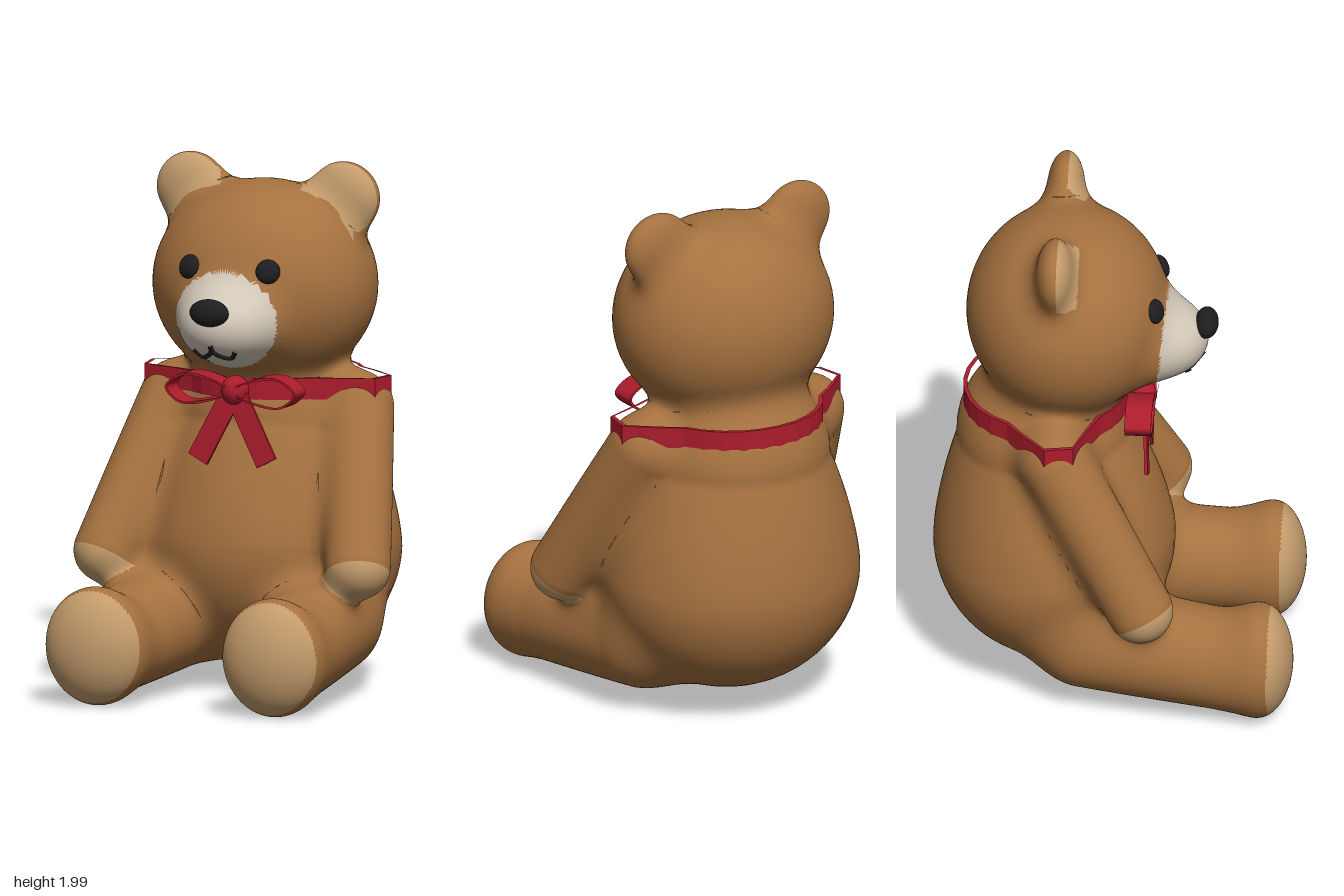
import * as THREE from 'three';

const V = (x, y, z) => new THREE.Vector3(x, y, z);
const mat = (name, color) => Object.assign(new THREE.MeshStandardMaterial({ color }), { name });
const BLEND = 0.1;

// Soft plush parts: each has a distance rule and a starting geometry
function ellipsoid(name, c, r) {
  const geometry = new THREE.SphereGeometry(1, 64, 48).rotateX(Math.PI / 2)
    .scale(r.x, r.y, r.z).translate(c.x, c.y, c.z);
  const dist = (p) => {
    const x = (p.x - c.x) / r.x, y = (p.y - c.y) / r.y, z = (p.z - c.z) / r.z;
    const k0 = Math.hypot(x, y, z);
    return k0 * (k0 - 1) / (Math.hypot(x / r.x, y / r.y, z / r.z) + 1e-6);
  };
  return { name, geometry, dist };
}

// Rounded limb whose radius eases from ra to rb
function limb(name, a, ra, b, rb, widen = 1) {
  const axis = b.clone().sub(a), len = axis.length(), dir = axis.clone().normalize();
  const mid = a.clone().add(b).multiplyScalar(0.5);
  const turn = new THREE.Quaternion().setFromUnitVectors(V(0, 1, 0), dir);
  const geometry = new THREE.CapsuleGeometry((ra + rb) / 2, len, 20, 64, 28)
    .applyQuaternion(turn).translate(mid.x, mid.y, mid.z).scale(widen, 1, 1);
  const q = V(0, 0, 0);
  const dist = (p) => {
    q.set(p.x / widen, p.y, p.z).sub(a);
    const h = THREE.MathUtils.clamp(q.dot(dir) / len, 0, 1);
    return q.addScaledVector(dir, -h * len).length() - (ra + (rb - ra) * h ** 1.5);
  };
  return { name, geometry, dist };
}

function plushParts() {
  const parts = [
    limb('body', V(0, 0.54, -0.235), 0.453, V(0, 1.0, -0.27), 0.33, 1.1),
    ellipsoid('head', V(0, 1.53, -0.185), V(0.43, 0.39, 0.378)),
    ellipsoid('muzzle', V(0, 1.42, 0.13), V(0.193, 0.155, 0.212)),
  ];
  for (const [side, s] of [['left', 1], ['right', -1]]) {
    parts.push(
      ellipsoid(side + 'Ear', V(s * 0.312, 1.865, -0.213), V(0.14, 0.135, 0.07)),
      limb(side + 'Arm', V(s * 0.372, 1.08, -0.205), 0.132, V(s * 0.513, 0.528, 0.122), 0.123),
      limb(side + 'Leg', V(s * 0.295, 0.282, -0.1), 0.2, V(s * 0.355, 0.23, 0.42), 0.19),
      ellipsoid(side + 'Foot', V(s * 0.362, 0.237, 0.56), V(0.196, 0.221, 0.122)));
  }
  return parts;
}

// Smooth union of all the parts
function makeField(parts) {
  return (p) => {
    let d = 10;
    for (const part of parts) {
      const e = part.dist(p), h = Math.max(BLEND - Math.abs(d - e), 0) / BLEND;
      d = Math.min(d, e) - h * h * BLEND / 4;
    }
    return d;
  };
}

function gradient(f, p) {
  const e = 0.002, q = p.clone();
  return V(...['x', 'y', 'z'].map((k) => {
    q.copy(p)[k] += e;
    const hi = f(q);
    q[k] -= 2 * e;
    return hi - f(q);
  })).divideScalar(2 * e);
}

function settle(f, p, steps) {
  for (let i = 0; i < steps; i++) {
    const d = f(p);
    if (Math.abs(d) < 1e-4) return;
    const g = gradient(f, p);
    p.addScaledVector(g, -d / Math.max(g.lengthSq(), 0.2));
  }
}

// Fur colour at a point: 0 brown, 1 tan pads, 2 pale muzzle
function paint(p) {
  const x = Math.abs(p.x);
  if (p.z > 0.595 && p.y < 0.6) return 1;
  if (p.z > -0.2 && p.z < -0.125 && Math.hypot(x - 0.315, p.y - 1.87) < 0.145) return 1;
  if (Math.hypot(x - 0.515, p.y - 0.53, p.z - 0.125) < 0.145
    && (x - 0.515) * 0.217 - (p.y - 0.53) * 0.836 + (p.z - 0.125) * 0.503 > 0.03) return 1;
  if (p.z > 0.1 && Math.hypot(x / 0.205, (p.y - 1.435) / 0.185) < 1) return 2;
  return 0;
}

// Pull one part onto the blended skin, drop what is buried, and sort faces by colour
function plushMesh(part, parts, field, mats) {
  const g = part.geometry, pos = g.attributes.position, nor = g.attributes.normal;
  const buried = [], points = [];
  for (let i = 0; i < pos.count; i++) {
    const p = V(0, 0, 0).fromBufferAttribute(pos, i);
    settle(part.dist, p, 4);
    buried[i] = parts.some((o) => o !== part && o.dist(p) < -BLEND * 0.6);
    if (!buried[i]) settle(field, p, 12);
    const n = gradient(field, p).normalize();
    pos.setXYZ(i, p.x, p.y, p.z);
    nor.setXYZ(i, n.x, n.y, n.z);
    points[i] = p;
  }
  const faces = [[], [], []], index = g.index.array;
  for (let i = 0; i < index.length; i += 3) {
    const tri = [index[i], index[i + 1], index[i + 2]];
    if (tri.every((v) => buried[v])) continue;
    const centre = V(0, 0, 0);
    tri.forEach((v) => centre.addScaledVector(points[v], 1 / 3));
    faces[paint(centre)].push(...tri);
  }
  g.setIndex(faces.flat());
  g.clearGroups();
  let start = 0;
  faces.forEach((list, m) => {
    if (list.length) g.addGroup(start, list.length, m);
    start += list.length;
  });
  const mesh = new THREE.Mesh(g, mats);
  mesh.name = part.name;
  return mesh;
}

// Closed strip of ribbon standing on an outline
function hoop(outer, inner, depth) {
  const shape = new THREE.Shape(outer);
  shape.holes.push(new THREE.Path(inner));
  return new THREE.ExtrudeGeometry(shape, { depth, bevelEnabled: false });
}

export function createModel() {
  const model = new THREE.Group();
  model.name = 'teddyBear';
  const brown = mat('brownFur', 0xa5713f), tan = mat('tanPads', 0xc49c6c);
  const pale = mat('paleMuzzle', 0xd3c8b8), black = mat('black', 0x1e1e20), red = mat('redRibbon', 0xac1c2c);
  const add = (name, geometry, material, parent = model) => {
    const mesh = new THREE.Mesh(geometry, material);
    mesh.name = name;
    parent.add(mesh);
    return mesh;
  };

  const parts = plushParts(), field = makeField(parts);
  for (const part of parts) model.add(plushMesh(part, parts, field, [brown, tan, pale]));

  // Find the skin by stepping from a point along a direction
  const trace = (p, dir) => {
    for (let i = 0; i < 60; i++) p.addScaledVector(dir, field(p) * 0.8);
    return p;
  };
  const onFace = (x, y) => trace(V(x, y, 0.8), V(0, 0, -1));

  // Eyes and nose
  for (const [side, s] of [['left', 1], ['right', -1]]) {
    const at = onFace(s * 0.16, 1.625);
    const eye = add(side + 'Eye', new THREE.SphereGeometry(1, 24, 16).scale(0.046, 0.046, 0.028), black);
    eye.position.copy(at);
    eye.lookAt(at.clone().add(gradient(field, at)));
  }
  add('nose', new THREE.SphereGeometry(1, 32, 20).scale(0.078, 0.052, 0.045), black)
    .position.set(0, 1.485, 0.335);

  // Stitched mouth lying on the muzzle
  for (const [side, s] of [['left', 1], ['right', -1]]) {
    const path = [[0, 1.362], [0.004, 1.335], [0.025, 1.317], [0.058, 1.308], [0.085, 1.338]]
      .map(([x, y]) => onFace(s * x, y));
    add(side + 'Mouth', new THREE.TubeGeometry(new THREE.CatmullRomCurve3(path), 24, 0.009, 8), black);
  }

  // Neck ribbon following the shoulders
  const around = (offset) => Array.from({ length: 28 }, (_, i) => {
    const a = i / 28 * Math.PI * 2, dir = V(Math.cos(a), 0, Math.sin(a));
    const p = trace(V(0, 1.15, -0.24).addScaledVector(dir, 0.8), dir.clone().negate());
    p.addScaledVector(dir, offset);
    return new THREE.Vector2(p.x, -p.z);
  });
  add('neckRibbon', hoop(around(0.012), around(-0.004), 0.08).rotateX(-Math.PI / 2), red).position.y = 1.12;

  // Bow: two loops, two tails and a knot
  const bow = new THREE.Group();
  bow.name = 'bow';
  model.add(bow);
  for (const [side, s] of [['left', 1], ['right', -1]]) {
    const curve = new THREE.CatmullRomCurve3([[0, 1.16], [0.1, 1.212], [0.2, 1.217], [0.266, 1.165],
      [0.21, 1.108], [0.1, 1.115]].map(([x, y]) => V(s * x, y, 0)), true);
    const outer = curve.getPoints(40).slice(0, 40).map((p) => new THREE.Vector2(p.x, p.y));
    const centre = new THREE.Vector2(s * 0.14, 1.163);
    const inner = outer.map((p) => {
      const v = p.clone().sub(centre);
      return centre.clone().addScaledVector(v, 1 - 0.01 / v.length());
    });
    add(side + 'Loop', hoop(outer, inner, 0.1), red, bow).position.z = 0.045;
    const tail = add(side + 'Tail', new THREE.BoxGeometry(0.085, 0.27, 0.012), red, bow);
    tail.position.set(s * 0.078, 1.015, 0.114);
    tail.rotation.set(-0.06, 0, s * 0.48);
  }
  add('knot', new THREE.SphereGeometry(1, 24, 16).scale(0.052, 0.056, 0.055), red, bow)
    .position.set(0, 1.16, 0.095);
  return model;
}
